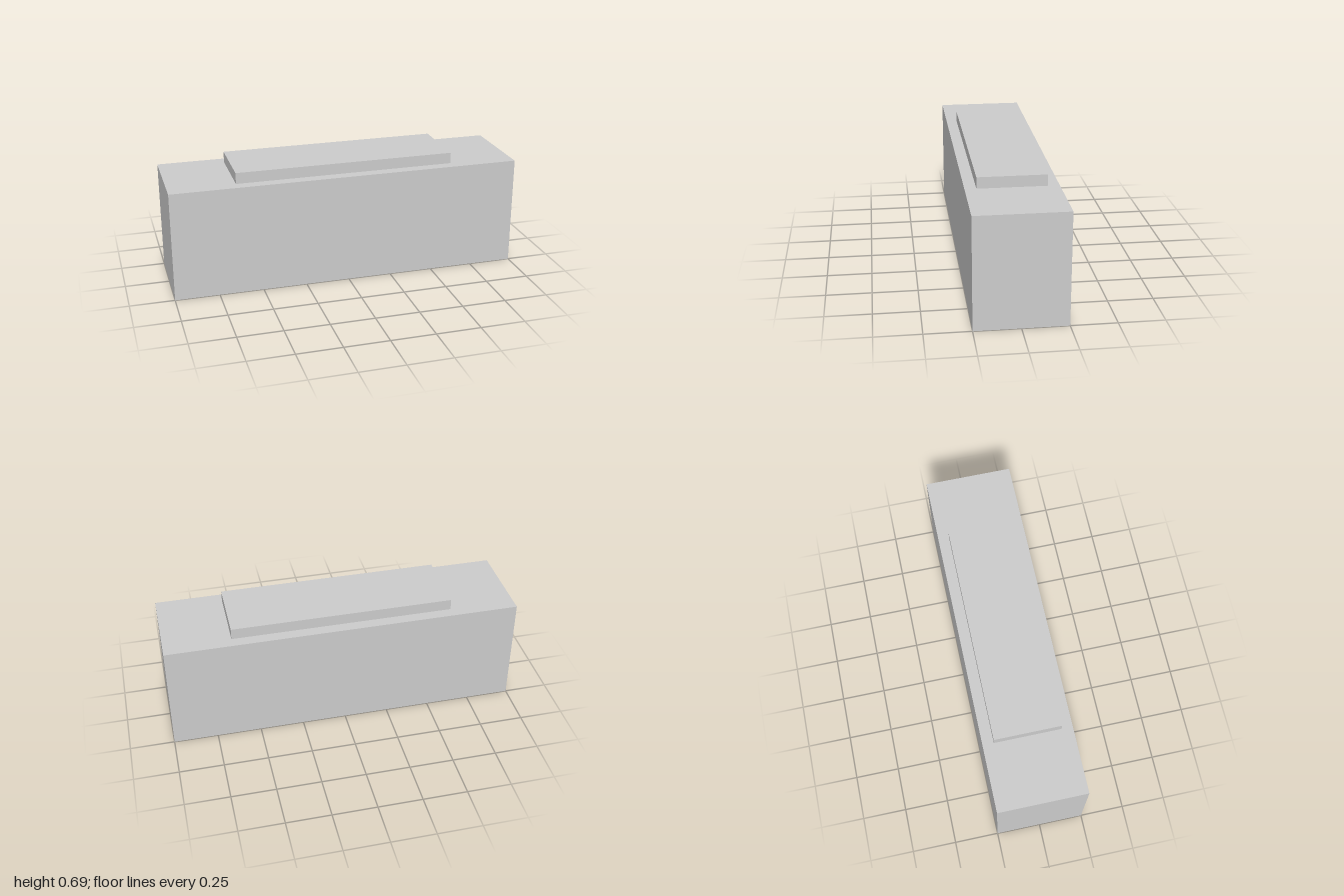
import * as THREE from 'three';

export function createModel() {
  const group = new THREE.Group();
  const material = new THREE.MeshStandardMaterial({ color: 0xcccccc, flatShading: true });

  // Adds a box standing on height y, centred on x and z
  const addBox = (name, width, height, depth, y) => {
    const mesh = new THREE.Mesh(new THREE.BoxGeometry(width, height, depth), material);
    mesh.name = name;
    mesh.position.y = y + height / 2;
    group.add(mesh);
  };

  // Long main block
  addBox('body', 2, 0.625, 0.5, 0);
  // Thin raised slab on top
  addBox('topPlate', 1.25, 0.0625, 0.375, 0.625);

  return group;
}
